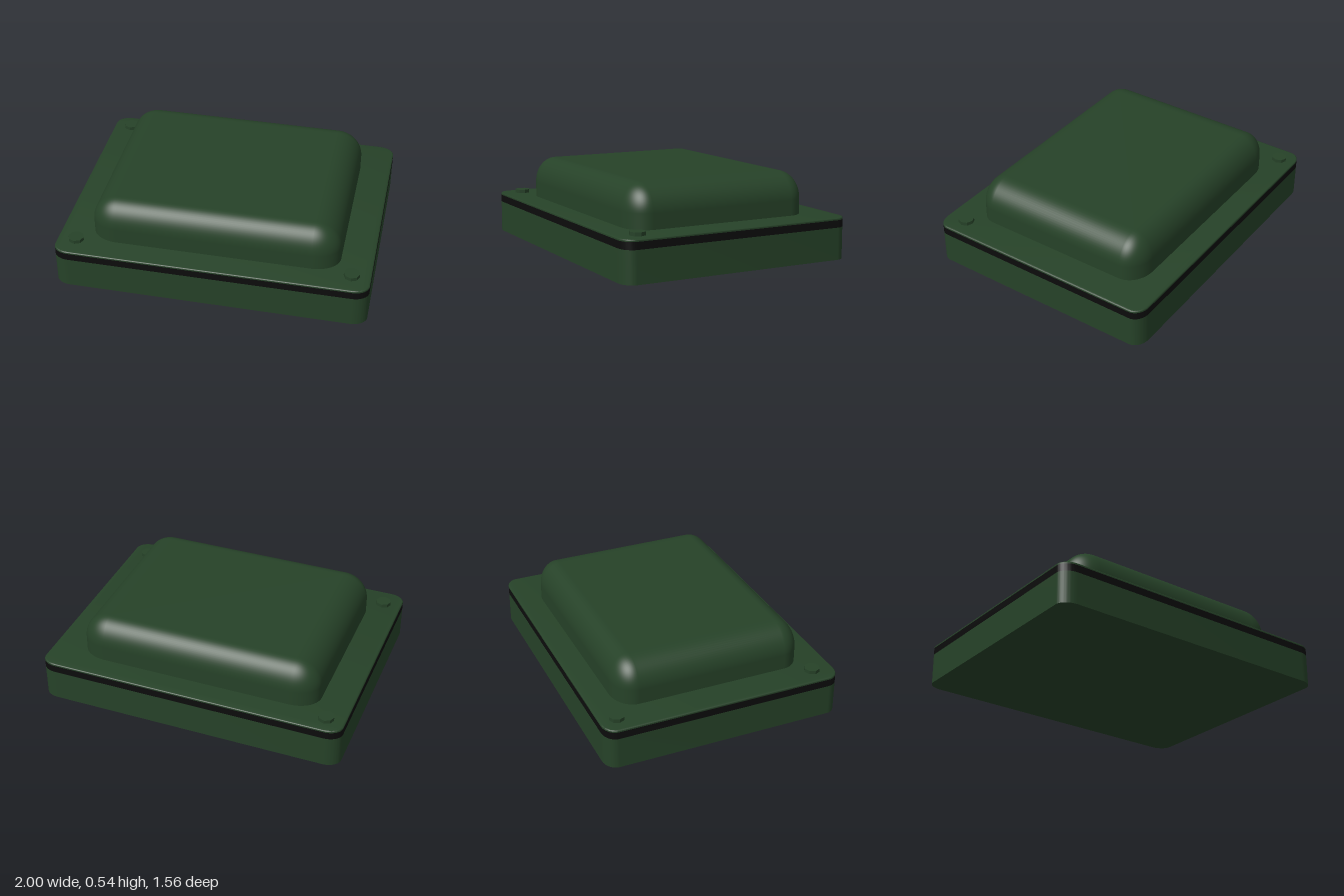
import * as THREE from 'three';
import { toCreasedNormals } from 'three/addons/utils/BufferGeometryUtils.js';
import { RoundedBoxGeometry } from 'three/addons/geometries/RoundedBoxGeometry.js';

// Plan depth relative to width; corner roundings stretch with it
const DEPTH = 0.78;

// Horizontal rounded slab from y0 to y1, optionally with a softened top edge
function slab(half, radius, y0, y1, bevel = 0) {
  const h = half - bevel, r = radius - bevel;
  const shape = new THREE.Shape();
  shape.absarc(h - r, h - r, r, 0, Math.PI / 2);
  shape.absarc(r - h, h - r, r, Math.PI / 2, Math.PI);
  shape.absarc(r - h, r - h, r, Math.PI, Math.PI * 1.5);
  shape.absarc(h - r, r - h, r, Math.PI * 1.5, Math.PI * 2);
  shape.closePath();
  const geo = new THREE.ExtrudeGeometry(shape, {
    depth: y1 - y0 - bevel, curveSegments: 10, bevelEnabled: bevel > 0,
    bevelSize: bevel, bevelThickness: bevel, bevelSegments: 3,
  });
  geo.rotateX(-Math.PI / 2);
  geo.translate(0, y0, 0);
  geo.scale(1, 1, DEPTH);
  return toCreasedNormals(geo, 0.6);
}

export function createModel() {
  const green = new THREE.MeshStandardMaterial({ color: 0x264228 });
  green.name = 'dark green';
  const black = new THREE.MeshStandardMaterial({ color: 0x0c0c0c });
  black.name = 'gasket black';

  const group = new THREE.Group();
  group.name = 'enclosure';
  const add = (name, geometry, material) => {
    const mesh = new THREE.Mesh(geometry, material);
    mesh.name = name;
    group.add(mesh);
    return mesh;
  };

  // Base tray, seal and lid flange
  add('base', slab(1, 0.1, 0, 0.205), green);
  add('gasket', slab(1, 0.1, 0.205, 0.252), black);
  add('lidFlange', slab(1, 0.1, 0.252, 0.266, 0.008), green);

  // Raised cover; its lower rounding is buried in the base
  const cover = new RoundedBoxGeometry(1.59, 0.465, 1.59, 8, 0.17);
  cover.scale(1, 1, 0.783);
  add('raisedCover', cover, green).position.y = 0.3025;

  // Three corner bolts; the back left corner has none
  const bolt = toCreasedNormals(new THREE.CylinderGeometry(0.05, 0.05, 0.04, 8), 0.5);
  for (const [x, z] of [[-0.88, -0.67], [-0.88, 0.64], [0.88, 0.64]]) {
    add('bolt', bolt, green).position.set(x, 0.269, z);
  }
  return group;
}
